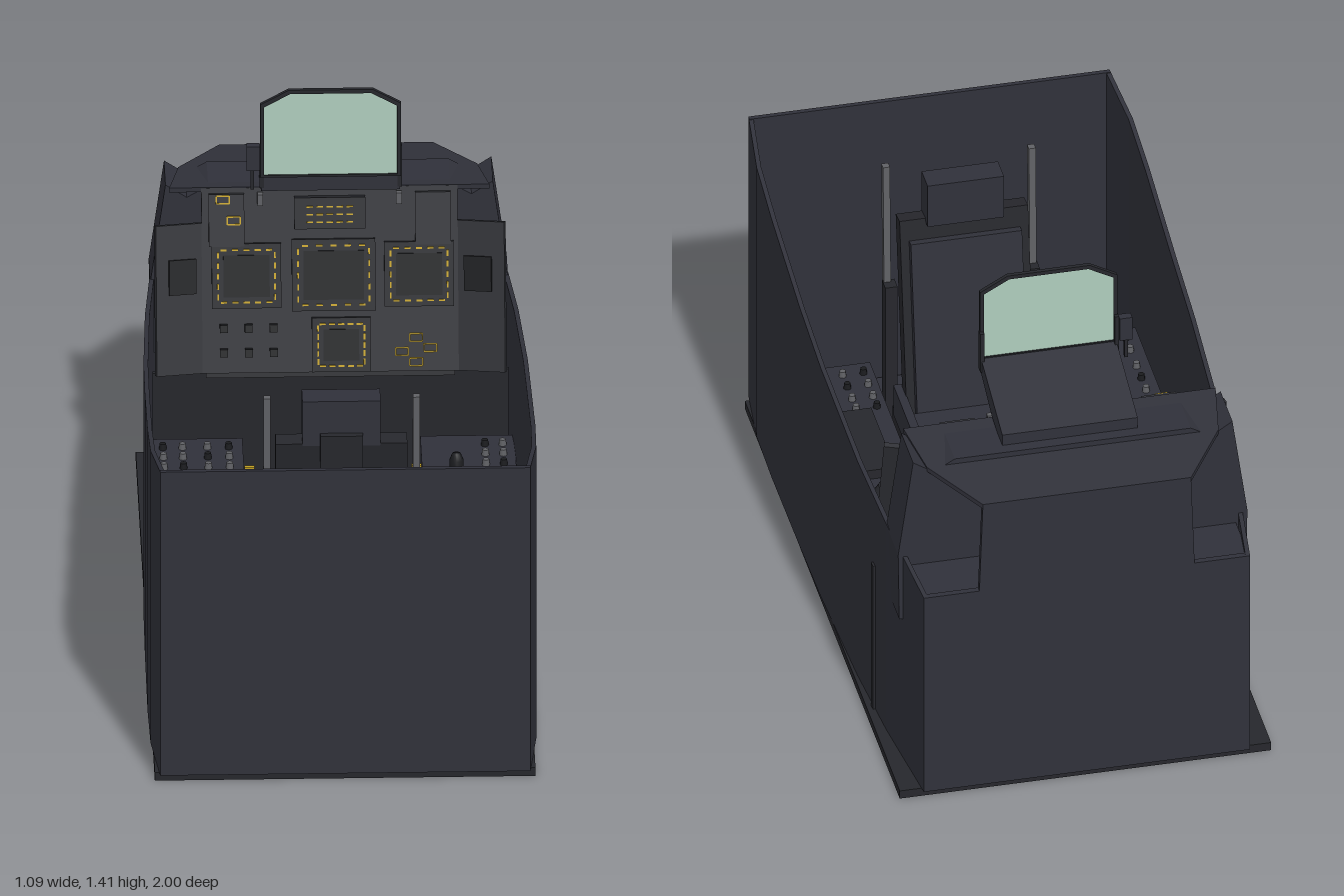
import * as THREE from 'three';

const paint = (name, color) => Object.assign(new THREE.MeshStandardMaterial({ color, side: THREE.DoubleSide }), { name });

export function createModel() {
  const model = new THREE.Group();
  model.name = 'cockpit';
  const body = paint('charcoal body', 0x30313a);
  const dark = paint('dark trim', 0x26272c);
  const panelMat = paint('panel grey', 0x2e2f34);
  const black = paint('screen black', 0x1a1b1e);
  const grey = paint('metal grey', 0x606165);
  const yellow = paint('marking yellow', 0xc2a022);
  const glassMat = paint('pale green glass', 0xafcdbd);

  const add = (parent, name, geo, mat, x = 0, y = 0, z = 0) => {
    const m = new THREE.Mesh(geo, mat);
    m.name = name;
    m.position.set(x, y, z);
    parent.add(m);
    return m;
  };
  const box = (parent, name, mat, w, h, d, x, y, z) => add(parent, name, new THREE.BoxGeometry(w, h, d), mat, x, y, z);
  const shapeOf = (pts) => new THREE.Shape(pts.map((p) => new THREE.Vector2(...p)));
  const extrude = (shape, depth) => new THREE.ExtrudeGeometry(shape, { depth, bevelEnabled: false });
  // outline symmetric about x = 0, given by its right half from bottom to top
  const mirrored = (half) => [...half, ...half.map(([x, y]) => [-x, y]).reverse()];

  // Base and floor
  box(model, 'base', dark, 1.07, 0.026, 1.96, 0, 0.013, 0);
  box(model, 'floor', body, 0.94, 0.02, 1.96, 0, 0.036, 0);

  // Side walls: stations of z, half width, top height
  const stations = [[1, 0.52, 0.985], [0.8, 0.542, 0.95], [0.6, 0.545, 0.912], [0.25, 0.543, 0.845],
    [0, 0.54, 0.81], [-0.4, 0.525, 0.76], [-0.68, 0.505, 0.73], [-1, 0.47, 0.69]];
  const wall = (s) => {
    const pos = [], index = [], t = 0.013;
    for (const [z, x, y] of stations) {
      pos.push(s * x, 0.026, z, s * x, y, z, s * (x - t), y, z, s * (x - t), 0.026, z);
    }
    for (let i = 0; i < stations.length - 1; i++) {
      for (let k = 0; k < 4; k++) {
        const a = i * 4 + k, b = i * 4 + (k + 1) % 4, c = b + 4, d = a + 4;
        index.push(...(s > 0 ? [a, d, b, b, d, c] : [a, b, d, b, c, d]));
      }
    }
    const g = new THREE.BufferGeometry();
    g.setAttribute('position', new THREE.Float32BufferAttribute(pos, 3));
    g.setIndex(index);
    const flat = g.toNonIndexed();
    flat.computeVertexNormals();
    return flat;
  };
  for (const s of [1, -1]) {
    add(model, 'sideWall', wall(s), body);
    const strip = box(model, 'sideStrip', dark, 0.012, 0.49, 0.022, s * 0.514, 0.271, -0.562);
    strip.rotation.y = s * 0.07;
  }
  box(model, 'frontWall', body, 1.04, 0.959, 0.014, 0, 0.5055, 0.993);

  // Back wall with low shoulders, and the shelf behind the bulkhead
  const back = mirrored([[0.47, 0.026], [0.47, 0.69], [0.31, 0.69], [0.3, 0.978]]);
  add(model, 'backWall', extrude(shapeOf(back), 0.018), body, 0, 0, -1);
  box(model, 'backShelf', body, 0.94, 0.012, 0.17, 0, 0.675, -0.9);

  // Bulkhead behind the dashboard
  const bulk = mirrored([[0.5, 0.5], [0.503, 0.72], [0.46, 1.03], [0.4, 0.99], [0.34, 1.025]]);
  add(model, 'bulkhead', extrude(shapeOf(bulk), 0.15), body, 0, 0, -0.82);
  const core = extrude(shapeOf([[0.51, 0.5], [0.655, 1.02], [0.8, 1], [0.8, 0.5]]), 0.7);
  add(model, 'dashboardCore', core, dark, 0.35).rotation.y = Math.PI / 2;
  model.children.at(-1).position.x = -0.35;
  box(model, 'kickPanel', dark, 1.0, 0.48, 0.012, 0, 0.27, -0.53);

  // Sloping cowl top
  const cowl = extrude(shapeOf(mirrored([[0.3, -1], [0.42, -0.82], [0.45, -0.65]])), 0.014);
  cowl.rotateX(Math.PI / 2);
  const cp = cowl.attributes.position;
  for (let i = 0; i < cp.count; i++) cp.setY(i, cp.getY(i) + 0.985 + (cp.getZ(i) + 1) * 0.13);
  cowl.computeVertexNormals();
  add(model, 'cowl', cowl, body);

  // Dashboard, leaning back
  const dash = new THREE.Group();
  dash.name = 'dashboard';
  dash.position.set(0, 0.52, -0.5);
  dash.rotation.x = -0.286;
  model.add(dash);
  box(dash, 'mainPanel', panelMat, 0.72, 0.53, 0.02, 0, 0.265, -0.01);
  for (const s of [1, -1]) {
    const flank = box(dash, 'flankPanel', panelMat, 0.15, 0.43, 0.016, s * 0.42, 0.215, 0.01);
    flank.rotation.y = -s * 0.3;
    box(dash, 'upperSidePanel', panelMat, 0.1, 0.15, 0.02, s * 0.29, 0.44, 0.008);
    box(dash, 'flankGauge', black, 0.08, 0.1, 0.008, s * 0.415, 0.28, 0.02).rotation.y = -s * 0.3;
  }
  // Displays ringed by marked keys
  const display = (x, y, w, h) => {
    box(dash, 'displayFrame', dark, w + 0.035, h + 0.035, 0.016, x, y, 0.006);
    box(dash, 'displayScreen', black, w - 0.03, h - 0.03, 0.006, x, y, 0.014);
    for (let i = -2; i <= 2; i++) {
      for (const s of [1, -1]) {
        box(dash, 'displayKey', yellow, 0.017, 0.005, 0.004, x + i * w / 5, y + s * h / 2, 0.016);
        box(dash, 'displayKey', yellow, 0.005, 0.017, 0.004, x + s * w / 2, y + i * h / 5, 0.016);
      }
    }
  };
  display(-0.235, 0.28, 0.16, 0.15);
  display(0.01, 0.28, 0.2, 0.17);
  display(0.25, 0.28, 0.16, 0.15);
  display(0.03, 0.08, 0.13, 0.12);
  // Upper control panel and small marked switches
  box(dash, 'upperControl', dark, 0.2, 0.09, 0.04, 0, 0.46, 0.01);
  for (let r = 0; r < 3; r++) {
    for (let i = -2; i <= 2; i++) box(dash, 'controlKey', yellow, 0.018, 0.004, 0.004, i * 0.028, 0.435 + r * 0.022, 0.031);
  }
  for (const [x, y] of [[0.2, 0.06], [0.24, 0.1], [0.24, 0.03], [0.28, 0.07], [-0.27, 0.44], [-0.3, 0.5]]) {
    for (const s of [1, -1]) {
      box(dash, 'switchMark', yellow, 0.036, 0.004, 0.004, x, y + s * 0.011, 0.02);
      box(dash, 'switchMark', yellow, 0.004, 0.022, 0.004, x + s * 0.018, y, 0.02);
    }
  }
  for (let i = 0; i < 6; i++) box(dash, 'dashSwitch', black, 0.022, 0.022, 0.024, -0.3 + (i % 3) * 0.07, 0.06 + Math.floor(i / 3) * 0.07, 0.01);

  // Head-up display: wedge base, glass, frame and side sensor
  const wedge = extrude(shapeOf([[0.51, 1.09], [0.51, 1.14], [0.785, 1.06], [0.785, 1.015], [0.65, 1.035]]), 0.39);
  add(model, 'displayBase', wedge, body, -0.195).rotation.y = Math.PI / 2;
  const outer = mirrored([[0.198, 1.135], [0.198, 1.365], [0.118, 1.41]]);
  const inner = mirrored([[0.187, 1.142], [0.187, 1.357], [0.114, 1.398]]);
  const frame = shapeOf(outer);
  frame.holes.push(new THREE.Path(inner.map((p) => new THREE.Vector2(...p))));
  add(model, 'glassFrame', extrude(frame, 0.012), dark, 0, 0, -0.516);
  add(model, 'glass', extrude(shapeOf(inner), 0.004), glassMat, 0, 0, -0.512);
  for (const s of [1, -1]) {
    box(model, 'glassBracket', dark, 0.012, 0.13, 0.02, s * 0.194, 1.165, -0.518);
    box(model, 'cowlPin', grey, 0.016, 0.035, 0.016, s * 0.195, 1.005, -0.625);
  }
  box(model, 'sensorBox', body, 0.036, 0.075, 0.024, -0.218, 1.19, -0.525);
  box(model, 'sensorStem', dark, 0.01, 0.06, 0.012, -0.22, 1.12, -0.525);

  // Side consoles with rows of knobs
  const top = 0.34;
  const knobGeo = new THREE.CylinderGeometry(0.009, 0.011, 0.018, 8);
  const knobs = (xs, zs) => zs.forEach((z, r) => xs.forEach((x, i) =>
    add(model, 'knob', knobGeo, (r + i) % 3 ? grey : black, x, top + 0.009, z)));
  for (const s of [1, -1]) {
    box(model, 'console', body, 0.265, top - 0.03, 1.1, s * 0.3825, top / 2 + 0.015, 0.1);
    box(model, 'consoleMark', yellow, 0.028, 0.006, 0.012, s * 0.235, top, -0.27);
    box(model, 'consoleMarkPost', dark, 0.02, 0.02, 0.02, s * 0.242, top - 0.013, -0.27);
  }
  knobs([-0.475, -0.42, -0.35, -0.29], [-0.39, -0.33, -0.27]);
  knobs([-0.475], [-0.18, -0.1, -0.03, 0.04, 0.12]);
  knobs([-0.475, -0.39, -0.34, -0.28], [0.24, 0.28, 0.34, 0.4, 0.46, 0.54, 0.6]);
  knobs([0.43, 0.48], [-0.39, -0.33, -0.27]);
  knobs([0.31, 0.38, 0.46], [-0.19, -0.12]);
  knobs([0.28, 0.34, 0.41, 0.48], [0.43, 0.48, 0.54, 0.6]);

  // Throttle
  box(model, 'throttlePlate', dark, 0.14, 0.012, 0.34, -0.34, top + 0.006, 0.01);
  for (let i = 0; i < 4; i++) box(model, 'throttleSlot', grey, 0.006, 0.004, 0.25, -0.375 + i * 0.024, top + 0.013, 0);
  box(model, 'throttleArm', dark, 0.03, 0.07, 0.02, -0.335, top + 0.04, 0.13);
  add(model, 'throttleGrip', new THREE.SphereGeometry(1, 16, 10), black, -0.335, top + 0.08, 0.13).scale.set(0.065, 0.026, 0.035);

  // Control stick and armrest
  add(model, 'stickBoot', new THREE.CylinderGeometry(0.03, 0.048, 0.03, 16), dark, 0.34, top + 0.015, 0.01);
  const stick = [[0, 0], [0.014, 0], [0.013, 0.06], [0.021, 0.09], [0.02, 0.13], [0.012, 0.15], [0, 0.152]];
  add(model, 'stick', new THREE.LatheGeometry(stick.map((p) => new THREE.Vector2(...p)), 14), black, 0.34, top + 0.02, 0).rotation.x = -0.1;
  box(model, 'armrest', dark, 0.1, 0.03, 0.3, 0.355, top + 0.015, 0.24);

  // Seat: pan, cushion, leaning back, headrest, rails and handle
  box(model, 'seatPan', dark, 0.41, 0.2, 0.45, 0, 0.145, 0.335);
  box(model, 'seatCushion', body, 0.34, 0.05, 0.31, 0, 0.265, 0.29);
  for (const s of [1, -1]) {
    box(model, 'seatSide', body, 0.025, 0.1, 0.42, s * 0.195, 0.28, 0.33);
    const rail = box(model, 'seatRail', grey, 0.02, 0.92, 0.022, s * 0.21, 0.565, 0.612);
    rail.rotation.x = 0.03;
    box(model, 'railFoot', dark, 0.035, 0.6, 0.04, s * 0.205, 0.34, 0.595);
  }
  const seatBack = new THREE.Group();
  seatBack.name = 'seatBack';
  seatBack.position.set(0, 0.25, 0.47);
  seatBack.rotation.x = 0.15;
  model.add(seatBack);
  box(seatBack, 'backShell', dark, 0.37, 0.63, 0.05, 0, 0.315, 0.02);
  box(seatBack, 'backCushion', body, 0.32, 0.55, 0.03, 0, 0.29, -0.015);
  box(model, 'headrest', body, 0.22, 0.14, 0.075, 0, 0.93, 0.572);
  box(model, 'headrestMount', dark, 0.12, 0.6, 0.04, 0, 0.6, 0.61);
  box(model, 'ejectHandle', yellow, 0.1, 0.02, 0.014, 0, 0.26, 0.108);

  return model;
}
